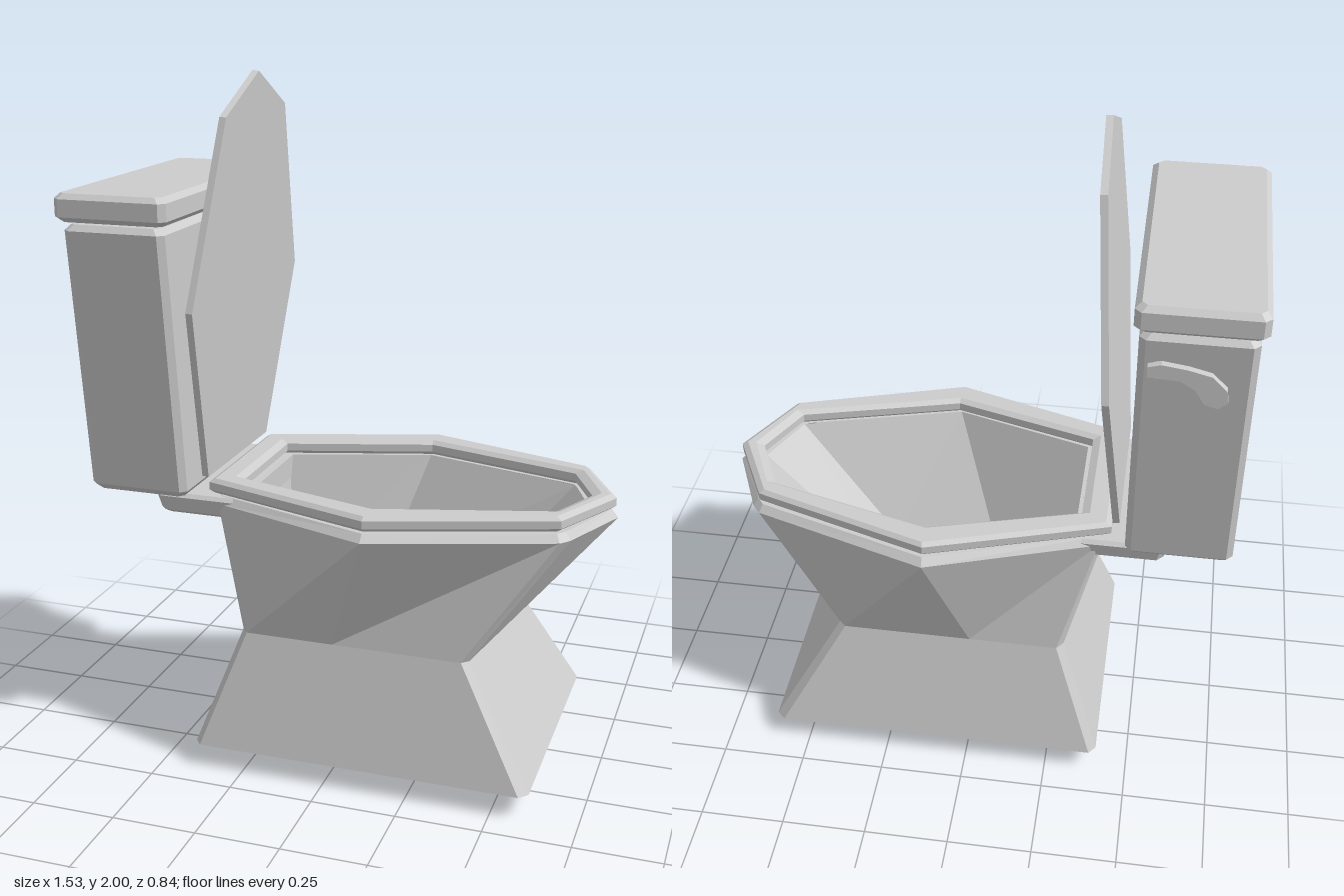
import * as THREE from 'three';

const porcelain = new THREE.MeshStandardMaterial({ color: 0xcccccc, flatShading: true, side: THREE.DoubleSide });
porcelain.name = 'porcelain grey';

// Joins closed rings of [x, y, z] points into a faceted skin, with optional end caps.
function loft(rings, capStart = false, capEnd = false) {
  const pos = [];
  const tri = (...corners) => corners.forEach((p) => pos.push(...p));
  const next = (ring, j) => ring[(j + 1) % ring.length];
  for (let i = 0; i < rings.length - 1; i++) {
    const a = rings[i], b = rings[i + 1];
    a.forEach((p, j) => {
      tri(p, next(a, j), next(b, j));
      tri(p, next(b, j), b[j]);
    });
  }
  const cap = (ring, flip) => {
    const c = [0, 1, 2].map((k) => ring.reduce((s, p) => s + p[k], 0) / ring.length);
    ring.forEach((p, j) => (flip ? tri(c, next(ring, j), p) : tri(c, p, next(ring, j))));
  };
  if (capStart) cap(rings[0], true);
  if (capEnd) cap(rings[rings.length - 1], false);
  const g = new THREE.BufferGeometry();
  g.setAttribute('position', new THREE.Float32BufferAttribute(pos, 3));
  g.computeVertexNormals();
  return g;
}

// Mirrors a half outline of [x, z] points (back to front) into a full ring at height y.
function mirrorRing(y, half) {
  const right = half.filter(([, z]) => z > 0).reverse().map(([x, z]) => [x, y, -z]);
  return [...half.map(([x, z]) => [x, y, z]), ...right];
}

// Rectangle with cut corners at height y.
const cutRect = (y, x0, x1, w, c) =>
  mirrorRing(y, [[x0, w - c], [x0 + c, w], [x1 - c, w], [x1, w - c]]);

export function createModel() {
  const model = new THREE.Group();
  const add = (name, geometry) => {
    const mesh = new THREE.Mesh(geometry, porcelain);
    mesh.name = name;
    model.add(mesh);
    return mesh;
  };

  // Pedestal: flared foot, narrow waist, wide rim; open underneath
  add('pedestal', loft([
    mirrorRing(0.065, [[-0.405, 0.38], [-0.385, 0.405], [0.1, 0.405], [0.58, 0.405], [0.605, 0.38], [0.605, 0]]),
    mirrorRing(0.405, [[-0.285, 0.285], [-0.265, 0.31], [0, 0.31], [0.385, 0.31], [0.405, 0.29], [0.405, 0]]),
    mirrorRing(0.775, [[-0.385, 0.22], [-0.37, 0.25], [0.12, 0.42], [0.64, 0.25], [0.665, 0.22], [0.762, 0]]),
    mirrorRing(0.797, [[-0.38, 0.21], [-0.365, 0.235], [0.12, 0.4], [0.63, 0.235], [0.65, 0.21], [0.74, 0]]),
    mirrorRing(0.797, [[-0.31, 0.17], [-0.305, 0.185], [0.12, 0.315], [0.6, 0.18], [0.61, 0.165], [0.68, 0]]),
  ]));

  // Bowl: steep upper wall, shallow funnel, drain pipe
  add('bowl', loft([
    mirrorRing(0.797, [[-0.31, 0.185], [0.12, 0.315], [0.605, 0.175], [0.68, 0]]),
    mirrorRing(0.43, [[-0.27, 0.11], [0, 0.18], [0.3, 0.11], [0.345, 0]]),
    mirrorRing(0.28, [[-0.2, 0.05], [-0.085, 0.1], [0.05, 0.04], [0.06, 0]]),
    mirrorRing(0, [[-0.2, 0.05], [-0.085, 0.1], [0.05, 0.04], [0.06, 0]]),
  ], false, true));

  // Seat ring with bevelled edges
  const seatOuter = [[-0.405, 0.23], [0.12, 0.4], [0.64, 0.23], [0.755, 0]];
  const seatInner = [[-0.315, 0.18], [0.125, 0.31], [0.605, 0.175], [0.685, 0]];
  const grow = (half, s) => half.map(([x, z]) => [0.15 + (x - 0.15) * s, z * s]);
  add('seat', loft([
    mirrorRing(0.8, grow(seatOuter, 0.975)),
    mirrorRing(0.81, seatOuter),
    mirrorRing(0.833, seatOuter),
    mirrorRing(0.844, grow(seatOuter, 0.97)),
    mirrorRing(0.844, grow(seatInner, 1.05)),
    mirrorRing(0.833, seatInner),
    mirrorRing(0.81, seatInner),
    mirrorRing(0.8, grow(seatInner, 1.03)),
    mirrorRing(0.8, grow(seatOuter, 0.975)),
  ]));

  // Raised lid leaning slightly forward
  const half = [[0.23, 0], [0.4, 0.53], [0.225, 1.045], [0, 1.155]];
  const outline = [...half, ...half.slice(0, 3).reverse().map(([x, y]) => [-x, y])];
  const lidShape = new THREE.Shape(outline.map(([x, y]) => new THREE.Vector2(x, y)));
  const lid = add('lid', new THREE.ExtrudeGeometry(lidShape, { depth: 0.02, bevelEnabled: false })
    .rotateY(Math.PI / 2).rotateZ(-0.08));
  lid.position.set(-0.427, 0.85, 0);

  // Shelf carrying the tank
  add('tankShelf', loft([
    cutRect(0.727, -0.55, -0.3, 0.23, 0.02),
    cutRect(0.74, -0.56, -0.3, 0.25, 0.02),
    cutRect(0.785, -0.57, -0.3, 0.26, 0.02),
    cutRect(0.796, -0.55, -0.3, 0.25, 0.02),
  ], true, true));

  // Tank, narrower towards the bottom
  add('tank', loft([
    cutRect(0.8, -0.735, -0.465, 0.29, 0.015),
    cutRect(0.82, -0.752, -0.448, 0.31, 0.018),
    cutRect(1.585, -0.752, -0.448, 0.395, 0.018),
    cutRect(1.602, -0.735, -0.465, 0.38, 0.015),
  ], true, true));

  // Tank cover
  add('tankCover', loft([
    cutRect(1.61, -0.755, -0.45, 0.395, 0.015),
    cutRect(1.625, -0.77, -0.433, 0.412, 0.018),
    cutRect(1.675, -0.77, -0.433, 0.412, 0.018),
    cutRect(1.69, -0.755, -0.45, 0.397, 0.015),
  ], true, true));

  // Flush handle: pivot and drooping paddle
  const pivot = add('handlePivot', new THREE.CylinderGeometry(0.022, 0.022, 0.04, 8).rotateX(Math.PI / 2));
  pivot.position.set(-0.5, 1.5, -0.385);
  const paddle = new THREE.Shape([
    [-0.475, 1.485], [-0.475, 1.515], [-0.51, 1.525], [-0.58, 1.515], [-0.64, 1.5], [-0.68, 1.46],
    [-0.685, 1.425], [-0.66, 1.405], [-0.625, 1.415], [-0.6, 1.455], [-0.56, 1.48],
  ].map(([x, y]) => new THREE.Vector2(x, y)));
  const handle = add('handlePaddle', new THREE.ExtrudeGeometry(paddle, { depth: 0.02, bevelEnabled: false }));
  handle.position.z = -0.41;

  return model;
}
